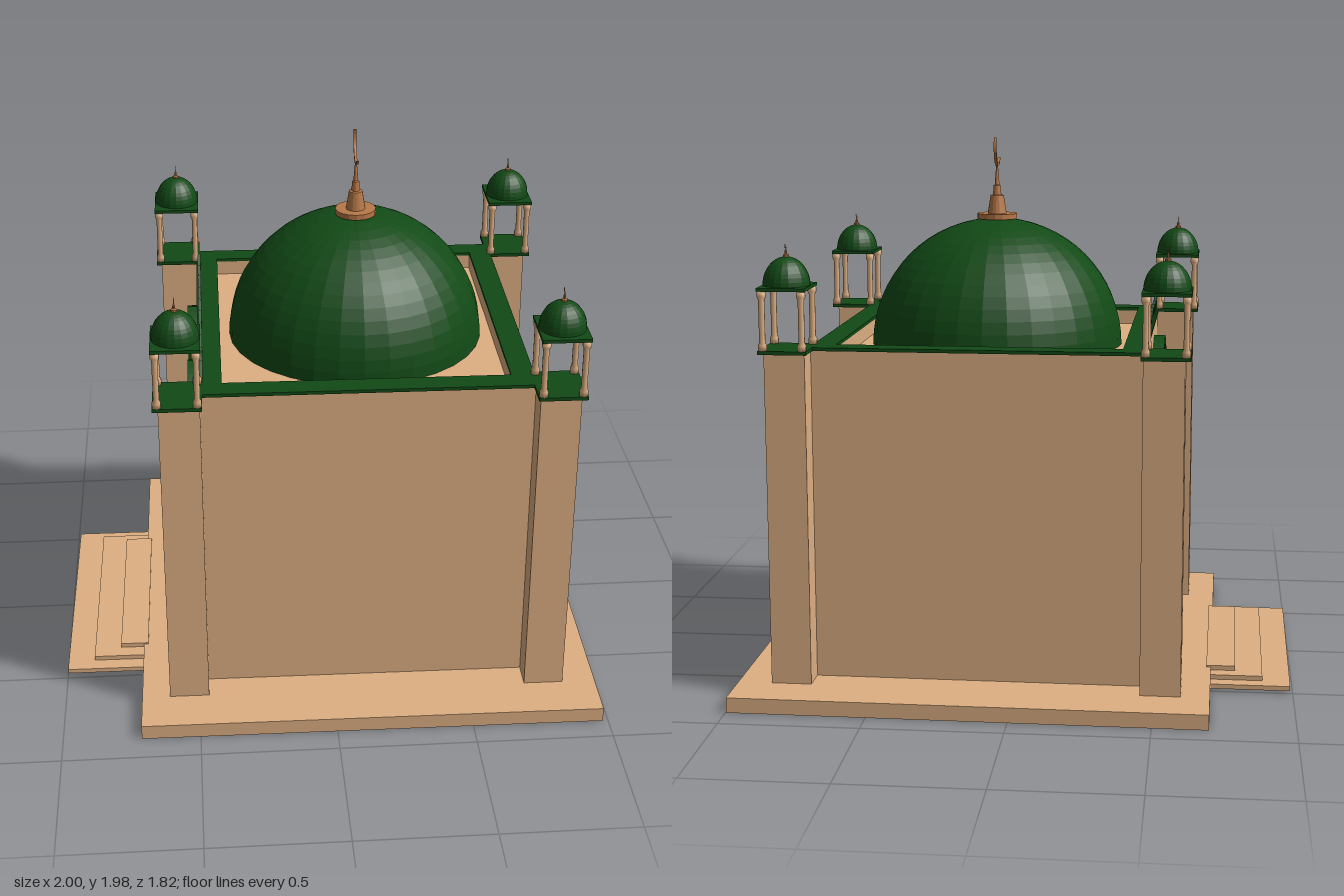
import * as THREE from 'three';

const TAN = new THREE.MeshStandardMaterial({ color: 0xdeb083 });
const GREEN = new THREE.MeshStandardMaterial({ color: 0x124a16, flatShading: true, side: THREE.DoubleSide });
const BRONZE = new THREE.MeshStandardMaterial({ color: 0xb87848, flatShading: true });

function add(parent, name, geometry, material, x = 0, y = 0, z = 0) {
  const mesh = new THREE.Mesh(geometry, material);
  mesh.name = name;
  mesh.position.set(x, y, z);
  parent.add(mesh);
  return mesh;
}

// Box given by its centre in x and z and by its bottom and top
function slab(parent, name, material, w, d, y0, y1, x = 0, z = 0) {
  return add(parent, name, new THREE.BoxGeometry(w, y1 - y0, d), material, x, (y0 + y1) / 2, z);
}

function extrude(shape, depth) {
  return new THREE.ExtrudeGeometry(shape, { depth, bevelEnabled: false, curveSegments: 8 });
}

function rect(Type, hw, y0, y1) {
  return new Type([[-hw, y0], [hw, y0], [hw, y1], [-hw, y1]].map(p => new THREE.Vector2(...p)));
}

// Pointed arch outline: straight jambs, curved shoulders, apex
function arch(Type, hw, y0, spring, top) {
  const s = new Type(), rise = top - spring;
  s.moveTo(-hw, y0);
  s.lineTo(hw, y0);
  s.lineTo(hw, spring);
  s.quadraticCurveTo(hw * 0.9, spring + rise * 0.65, 0, top);
  s.quadraticCurveTo(-hw * 0.9, spring + rise * 0.65, -hw, spring);
  s.closePath();
  return s;
}

function dome(r, segments) {
  return new THREE.SphereGeometry(r, segments, segments / 2, 0, Math.PI * 2, 0, Math.PI / 2);
}

function lathe(points, segments) {
  return new THREE.LatheGeometry(points.map(p => new THREE.Vector2(...p)), segments);
}

// Crescent drawn in the z-y plane, thickest in the middle of its arc
function crescent(r, thick, depth) {
  const outer = [], inner = [], n = 20;
  for (let i = 0; i <= n; i++) {
    const t = i / n, a = THREE.MathUtils.degToRad(150 + 174 * t);
    const ri = r - thick * Math.sin(Math.PI * t) - 0.0005;
    outer.push(new THREE.Vector2(r * Math.cos(a), r * Math.sin(a)));
    inner.unshift(new THREE.Vector2(ri * Math.cos(a), ri * Math.sin(a)));
  }
  const geometry = extrude(new THREE.Shape([...outer, ...inner]), depth);
  return geometry.translate(0, 0, -depth / 2).rotateY(-Math.PI / 2);
}

// Small domed pavilion on four columns
function pavilion() {
  const g = new THREE.Group();
  g.name = 'cornerPavilion';
  slab(g, 'pavilionFloor', GREEN, 0.172, 0.206, 1.253, 1.266);
  slab(g, 'pavilionRoof', GREEN, 0.172, 0.206, 1.475, 1.487);
  const column = lathe([[0, 0], [0.016, 0], [0.016, 0.02], [0.011, 0.03],
    [0.011, 0.18], [0.016, 0.19], [0.016, 0.21], [0, 0.21]], 10);
  for (const sx of [-1, 1]) for (const sz of [-1, 1])
    add(g, 'pavilionColumn', column, TAN, sx * 0.07, 1.265, sz * 0.088);
  const d = add(g, 'pavilionDome', dome(0.084, 20), GREEN, 0, 1.487);
  d.scale.y = 1.2;
  add(g, 'pavilionFinial', lathe([[0.011, 0], [0.011, 0.01], [0.005, 0.013],
    [0.004, 0.025], [0, 0.032]], 8), BRONZE, 0, 1.584);
  add(g, 'pavilionCrescent', crescent(0.012, 0.003, 0.003), BRONZE, 0, 1.627);
  return g;
}

// Corner pillar with a recessed panel on its outer face; side is -1 or 1
function pillar(side) {
  const g = new THREE.Group();
  g.name = 'cornerPillar';
  slab(g, 'pillarCore', TAN, 0.137, 0.17, 0.055, 1.255, -side * 0.004);
  const face = rect(THREE.Shape, 0.085, 0.055, 1.255);
  face.holes.push(rect(THREE.Path, 0.073, 0.16, 1.155));
  add(g, 'pillarPanelFrame', extrude(face, 0.008), TAN, side * 0.0645).rotation.y = side * Math.PI / 2;
  return g;
}

// Arched frame standing out from the entrance wall
function frame(parent, name, outer, hole, depth, z) {
  outer.holes.push(hole);
  add(parent, name, extrude(outer, depth), GREEN, -0.455, 0, z).rotation.y = -Math.PI / 2;
}

export function createModel() {
  const model = new THREE.Group();
  model.name = 'domedShrine';
  model.rotation.y = -0.009;

  // Platform and entrance steps
  slab(model, 'platform', TAN, 1.695, 1.8, 0, 0.055, 0.141);
  for (let i = 0; i < 3; i++) {
    const x0 = -0.995 + i * 0.1, x1 = -0.69;
    slab(model, 'step', TAN, x1 - x0, 0.985 - i * 0.11, 0.01 + i * 0.017, 0.027 + i * 0.017, (x0 + x1) / 2);
  }

  // Hall: walls, sunken roof, parapet and its green coping
  const hall = new THREE.Group();
  hall.name = 'hall';
  hall.position.x = 0.131;
  model.add(hall);
  slab(hall, 'walls', TAN, 1.18, 1.25, 0.055, 1.2);
  const ring = (hx, hz, h) => {
    const s = rect(THREE.Shape, hx, -hz, hz);
    s.holes.push(rect(THREE.Path, 0.512, -0.55, 0.55));
    return extrude(s, h).rotateX(-Math.PI / 2);
  };
  add(hall, 'parapet', ring(0.59, 0.625, 0.055), TAN, 0, 1.2);
  add(hall, 'coping', ring(0.596, 0.636, 0.012), GREEN, 0, 1.254);

  // Main dome and finial
  add(hall, 'mainDome', dome(0.475, 32), GREEN, 0, 1.2);
  add(hall, 'mainFinial', lathe([[0, 0], [0.075, 0], [0.075, 0.02], [0.036, 0.02], [0.025, 0.088],
    [0.016, 0.09], [0.013, 0.125], [0.009, 0.128], [0.003, 0.205], [0, 0.205]], 16), BRONZE, 0, 1.673);
  add(hall, 'mainCrescent', crescent(0.072, 0.011, 0.01), BRONZE, 0, 1.943, 0.01);

  // Corner pillars with pavilions
  for (const sx of [-1, 1]) for (const sz of [-1, 1]) {
    const p = pillar(sx), top = pavilion();
    p.position.set(sx * 0.662, 0, sz * 0.64);
    top.position.set(sx * 0.668, 0, sz * 0.634);
    hall.add(p, top);
  }

  // Row of pointed crests above the entrance wall
  const crest = extrude(new THREE.Shape([[-0.053, 0], [0.053, 0], [0, 0.055]]
    .map(p => new THREE.Vector2(...p))), 0.012).rotateY(-Math.PI / 2);
  for (let i = 0; i < 10; i++) add(model, 'crest', crest, GREEN, -0.447, 1.265, (i - 4.5) * 0.106);

  // Door with its recessed leaf, and two windows above
  frame(model, 'doorFrame', arch(THREE.Shape, 0.23, 0.055, 0.56, 0.765),
    arch(THREE.Path, 0.19, 0.056, 0.55, 0.72), 0.057, -0.005);
  add(model, 'doorLeaf', extrude(arch(THREE.Shape, 0.2, 0.055, 0.55, 0.73), 0.01), GREEN, -0.455, 0, -0.005)
    .rotation.y = -Math.PI / 2;
  for (const s of [-1, 1])
    frame(model, 'windowFrame', arch(THREE.Shape, 0.15, 0.855, 1.09, 1.2),
      arch(THREE.Path, 0.118, 0.887, 1.08, 1.165), 0.048, s * 0.24);

  return model;
}
